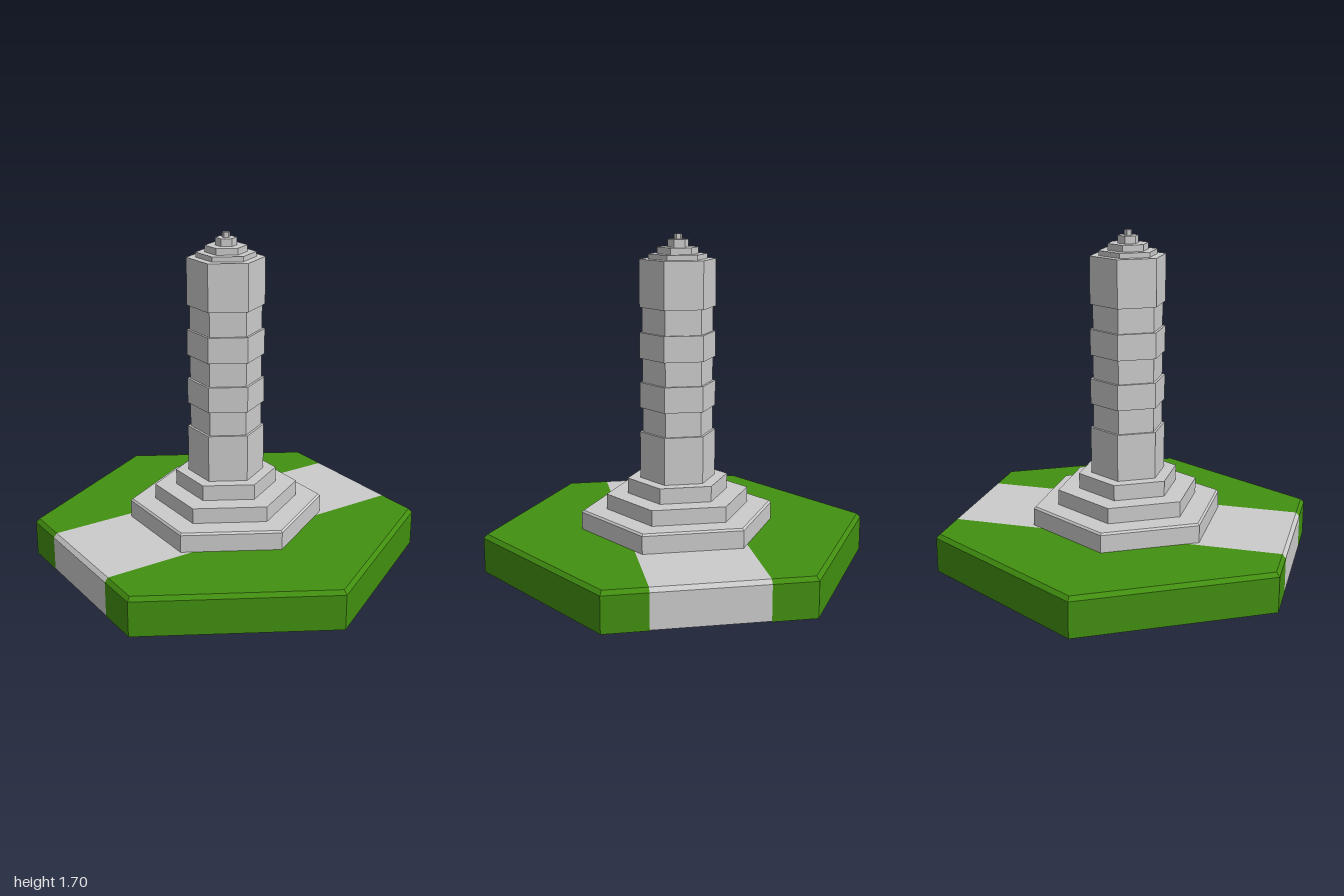
import * as THREE from 'three';
import { ConvexGeometry } from 'three/addons/geometries/ConvexGeometry.js';

const APOTHEM = Math.sqrt(3) / 2;
const BASE_TOP = 0.2, BEVEL = 0.02, ROAD_HALF = 0.28;

export function createModel() {
  const model = new THREE.Group();
  const stone = new THREE.MeshStandardMaterial({ color: 0xcccccc, flatShading: true });
  const grass = new THREE.MeshStandardMaterial({ color: 0x429010, flatShading: true });

  const add = (name, geometry, material) => {
    const mesh = new THREE.Mesh(geometry, material);
    mesh.name = name;
    model.add(mesh);
    return mesh;
  };

  // Slab with a bevelled top rim; cut edges along the road stay vertical
  const slab = (outline, bottom = 0) => {
    const points = [];
    for (const [x, z] of outline) {
      const topZ = Math.abs(z) === ROAD_HALF ? z : z * (1 - BEVEL);
      points.push(new THREE.Vector3(x, bottom, z));
      points.push(new THREE.Vector3(x, BASE_TOP - BEVEL, z));
      points.push(new THREE.Vector3(x * (1 - BEVEL), BASE_TOP, topZ));
    }
    return new ConvexGeometry(points);
  };

  // Hexagonal base: two grass halves with a road across the middle
  for (const [name, s] of [['frontGrass', 1], ['backGrass', -1]]) {
    add(name, slab([
      [APOTHEM, s * ROAD_HALF], [APOTHEM, s * 0.5], [0, s],
      [-APOTHEM, s * 0.5], [-APOTHEM, s * ROAD_HALF],
    ]), grass);
  }
  add('road', slab([
    [APOTHEM, ROAD_HALF], [APOTHEM, -ROAD_HALF],
    [-APOTHEM, -ROAD_HALF], [-APOTHEM, ROAD_HALF],
  ], 0.003), stone);

  // Green underside below the road
  const underside = add('roadUnderside', new THREE.PlaneGeometry(2 * APOTHEM, 2 * ROAD_HALF), grass);
  underside.rotation.x = Math.PI / 2;

  // Six-sided stepped solid from [radius, height] pairs
  const hexLathe = (profile) => new THREE.LatheGeometry(
    profile.map(([r, y]) => new THREE.Vector2(r, y)), 6);

  add('steppedPlinth', hexLathe([
    [0.5, 0.2], [0.5, 0.29], [0.49, 0.3],
    [0.37, 0.3], [0.37, 0.38],
    [0.26, 0.38], [0.26, 0.46], [0, 0.46],
  ]), stone);

  // Column: wide and narrow bands alternate
  const wide = 0.195, narrow = 0.181;
  const levels = [0.46, 0.702, 0.828, 0.958, 1.081, 1.212, 1.338, 1.577];
  const column = [];
  for (let i = 0; i < levels.length - 1; i++) {
    const r = i % 2 ? narrow : wide;
    column.push([r, levels[i]], [r, levels[i + 1]]);
  }
  column.push([0, 1.577]);
  add('bandedColumn', hexLathe(column), stone);

  // Stepped finial
  add('steppedFinial', hexLathe([
    [0.15, 1.577], [0.15, 1.602],
    [0.105, 1.602], [0.105, 1.635],
    [0.053, 1.635], [0.053, 1.673],
    [0.02, 1.673], [0.02, 1.7], [0, 1.7],
  ]), stone);

  return model;
}
